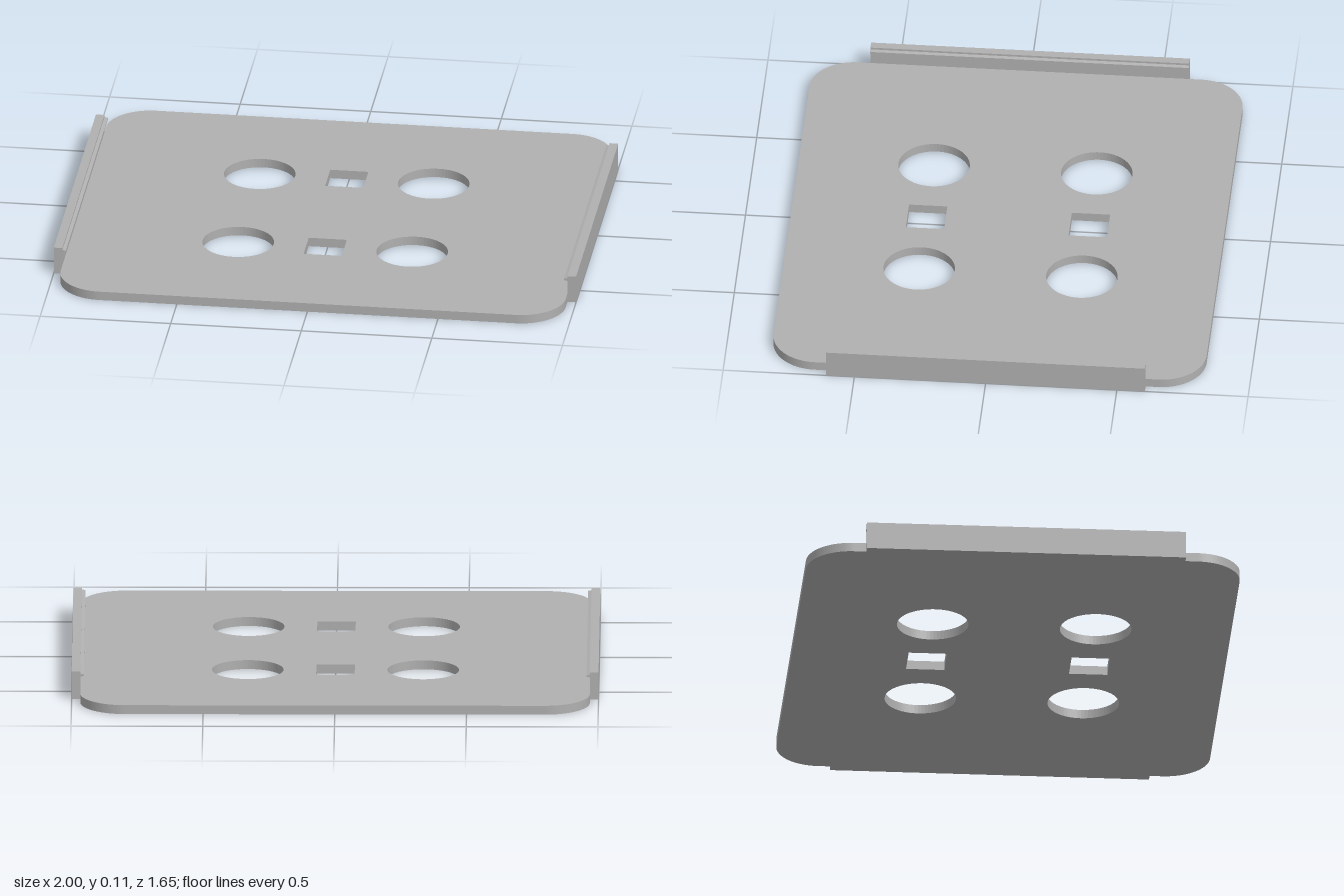
import * as THREE from 'three';

const HALF_X = 0.967, HALF_Z = 0.825, THICK = 0.035, CORNER = 0.17;
const RAIL_HALF = 0.607, RAIL_TOP = 0.107;

export function createModel() {
  const group = new THREE.Group();
  const grey = new THREE.MeshStandardMaterial({ color: 0xb0b0b0 });
  grey.name = 'plain grey';

  // Rounded plate outline
  const outline = new THREE.Shape();
  const cx = HALF_X - CORNER, cz = HALF_Z - CORNER;
  outline.absarc(cx, cz, CORNER, 0, Math.PI / 2);
  outline.absarc(-cx, cz, CORNER, Math.PI / 2, Math.PI);
  outline.absarc(-cx, -cz, CORNER, Math.PI, Math.PI * 1.5);
  outline.absarc(cx, -cz, CORNER, Math.PI * 1.5, Math.PI * 2);
  outline.closePath();

  // Two rows of holes: round, square, round
  for (const z of [-0.31, 0.31]) {
    for (const x of [-0.333, 0.333]) {
      outline.holes.push(new THREE.Path().absarc(x, z, 0.136, 0, Math.PI * 2, true));
    }
    const s = 0.073;
    outline.holes.push(new THREE.Path([
      [-s, z - s], [-s, z + s], [s, z + s], [s, z - s],
    ].map(([x, y]) => new THREE.Vector2(x, y))));
  }
  const plateGeometry = new THREE.ExtrudeGeometry(outline, {
    depth: THICK, bevelEnabled: false, curveSegments: 32,
  });
  plateGeometry.rotateX(-Math.PI / 2);
  const plate = new THREE.Mesh(plateGeometry, grey);
  plate.name = 'basePlate';
  group.add(plate);

  // Side rail profile with a small inward catch near the top
  const profile = new THREE.Shape([
    [HALF_X, 0], [1, 0], [1, RAIL_TOP], [HALF_X, RAIL_TOP],
    [HALF_X, 0.099], [0.954, 0.096], [0.954, 0.09], [HALF_X, 0.087],
  ].map(([x, y]) => new THREE.Vector2(x, y)));
  const railGeometry = new THREE.ExtrudeGeometry(profile, {
    depth: RAIL_HALF * 2, bevelEnabled: false,
  });
  railGeometry.translate(0, 0, -RAIL_HALF);

  // The rail is symmetric along its length, so a half turn mirrors it
  for (const [name, turn] of [['leftRail', 0], ['rightRail', Math.PI]]) {
    const rail = new THREE.Mesh(railGeometry, grey);
    rail.name = name;
    rail.rotation.y = turn;
    group.add(rail);
  }
  return group;
}
